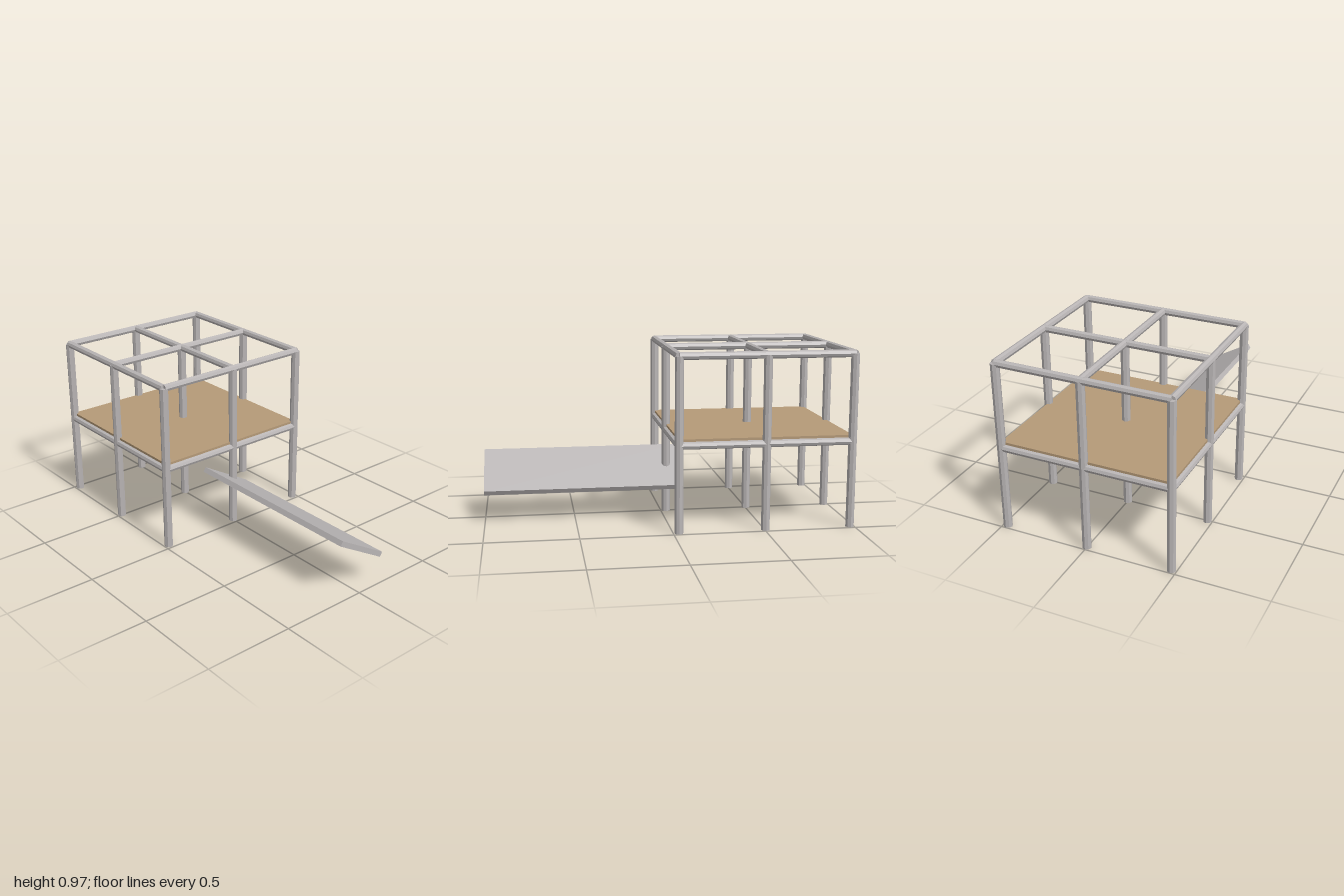
import * as THREE from 'three';

export function createModel() {
  const model = new THREE.Group();
  model.name = 'platformWithRamp';

  const steel = new THREE.MeshStandardMaterial({ color: 0xb9b5b5, flatShading: true });
  steel.name = 'steel grey';
  const wood = new THREE.MeshStandardMaterial({ color: 0xb59a78, flatShading: true });
  wood.name = 'plywood tan';

  const centreX = -0.503, step = 0.473;
  const offsets = [-step, 0, step];
  const topY = 0.95, deckY = 0.476;

  function add(name, geometry, material, x, y, z) {
    const mesh = new THREE.Mesh(geometry, material);
    mesh.name = name;
    mesh.position.set(x, y, z);
    model.add(mesh);
    return mesh;
  }

  // Nine octagonal posts
  const postGeometry = new THREE.CylinderGeometry(0.024, 0.024, topY, 8);
  for (const dx of offsets) {
    for (const z of offsets) add('post', postGeometry, steel, centreX + dx, topY / 2, z);
  }

  // Grid of rails in both directions, at deck height and at the top
  const railGeometry = new THREE.CylinderGeometry(0.0205, 0.0205, step * 2, 8);
  for (const [name, y] of [['deckRail', deckY], ['topRail', topY]]) {
    for (const d of offsets) {
      add(name + 'Across', railGeometry, steel, centreX, y, d).rotation.z = Math.PI / 2;
      add(name + 'Deep', railGeometry, steel, centreX + d, y, 0).rotation.x = Math.PI / 2;
    }
  }

  // Deck panel resting on the lower rails
  add('deck', new THREE.BoxGeometry(step * 2, 0.024, step * 2), wood, centreX, 0.498, 0);

  // Long board tilted about its length, its front edge raised
  add('ramp', new THREE.BoxGeometry(1.105, 0.029, 0.348), steel, 0.4475, 0.2615, 0)
    .rotation.x = -Math.PI / 6;

  return model;
}
